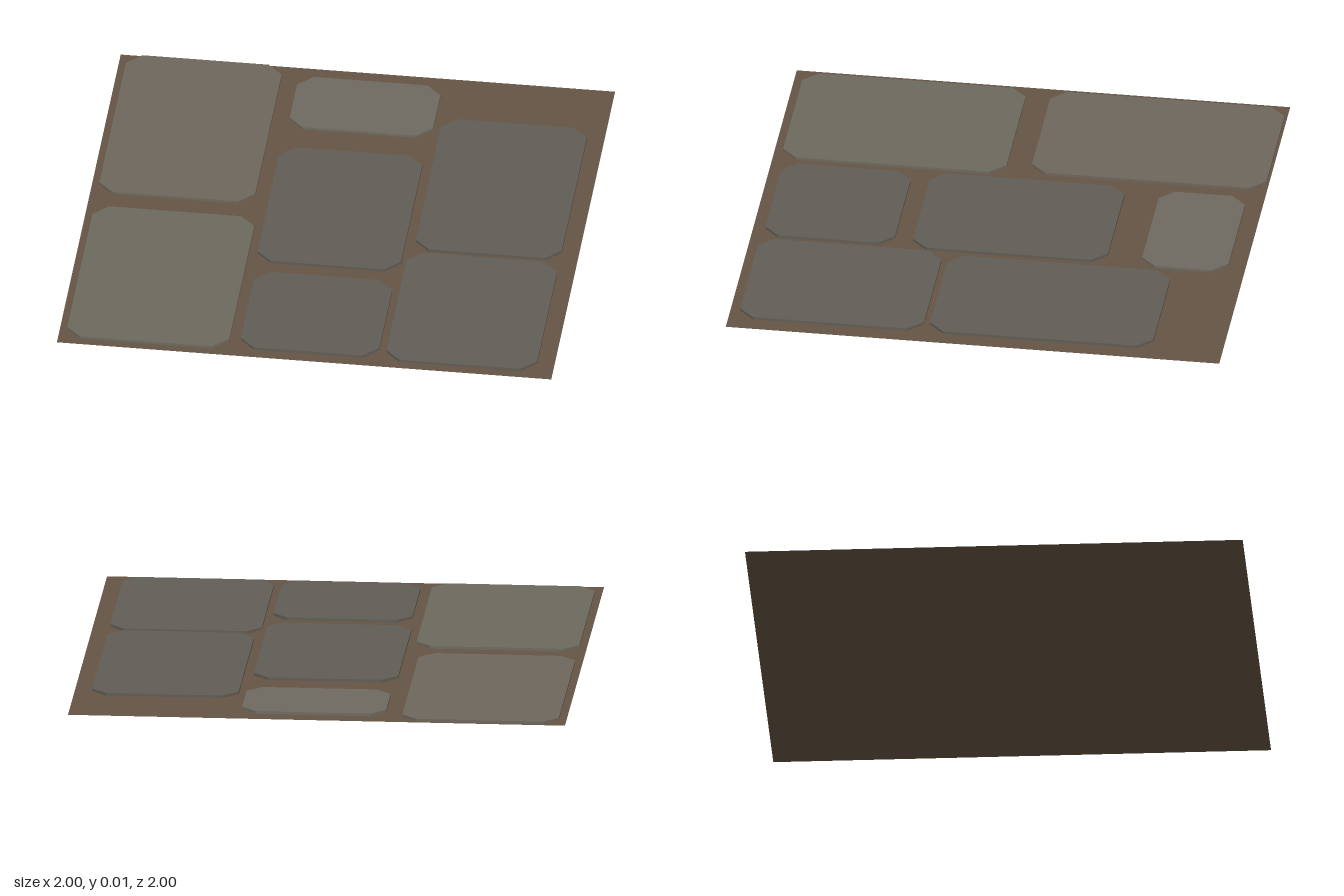
import * as THREE from 'three';

const HEIGHT = 0.012;
const CHAMFER = 0.06;

// Each stone: left x, right x, back z, front z, colour
const STONES = [
  [-0.97, -0.34, -0.99, -0.04, 0x6e665c],
  [-0.27, 0.31, -0.93, -0.58, 0x6e6a60],
  [0.34, 0.93, -0.715, 0.19, 0x605c55],
  [-0.28, 0.3, -0.44, 0.35, 0x605c55],
  [-0.97, -0.315, 0.06, 0.965, 0x6c6a5e],
  [-0.27, 0.29, 0.425, 0.95, 0x605d55],
  [0.32, 0.93, 0.215, 0.96, 0x615d56],
];

// Flat slab with four cut corners, lying on the ground
function pavingStone(x0, x1, z0, z1, color) {
  const w = (x1 - x0) / 2, d = (z1 - z0) / 2, c = CHAMFER;
  const outline = new THREE.Shape([
    [w - c, -d], [w, c - d], [w, d - c], [w - c, d],
    [c - w, d], [-w, d - c], [-w, c - d], [c - w, -d],
  ].map(([x, y]) => new THREE.Vector2(x, y)));
  const lift = 0.001; // keeps the underside clear of the ground sheet
  const geometry = new THREE.ExtrudeGeometry(outline, { depth: HEIGHT - lift, bevelEnabled: false });
  geometry.rotateX(-Math.PI / 2);
  const stone = new THREE.Mesh(geometry, new THREE.MeshStandardMaterial({ color, flatShading: true }));
  stone.position.set((x0 + x1) / 2, lift, (z0 + z1) / 2);
  return stone;
}

export function createModel() {
  const model = new THREE.Group();
  model.name = 'pavingTile';

  // Thin sheet of earth between the stones
  const ground = new THREE.Mesh(
    new THREE.PlaneGeometry(2, 2).rotateX(-Math.PI / 2),
    new THREE.MeshStandardMaterial({ color: 0x645444, side: THREE.DoubleSide }),
  );
  ground.name = 'ground';
  model.add(ground);

  STONES.forEach((spec, i) => {
    const stone = pavingStone(...spec);
    stone.name = `pavingStone${i + 1}`;
    model.add(stone);
  });
  return model;
}
